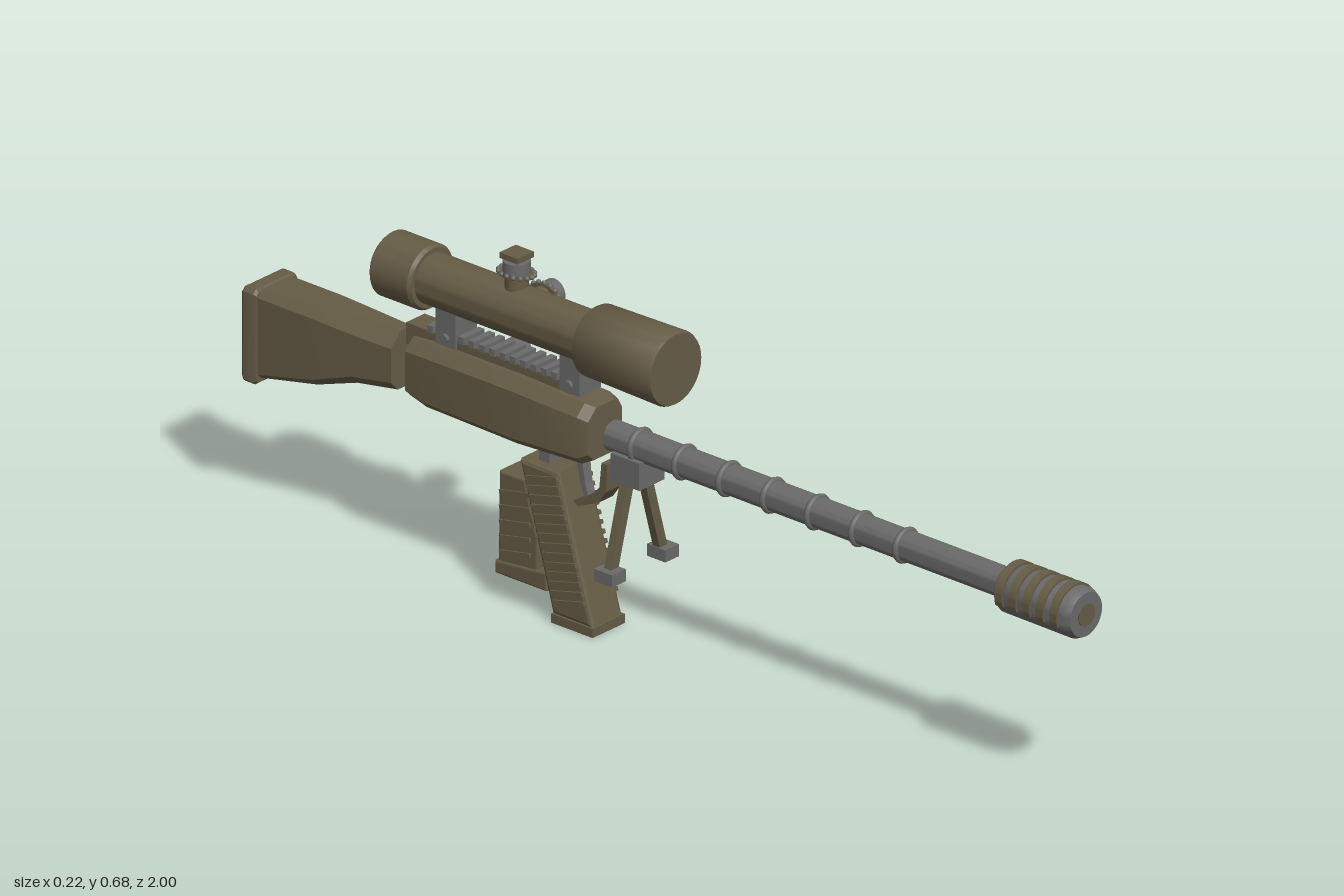
import * as THREE from 'three';
import { toCreasedNormals } from 'three/addons/utils/BufferGeometryUtils.js';

const brown = new THREE.MeshStandardMaterial({ color: 0x665c46 });
const grey = new THREE.MeshStandardMaterial({ color: 0x6a6a6a });

export function createModel() {
  const model = new THREE.Group();
  const gun = new THREE.Group();
  gun.name = 'rifle';
  gun.position.x = -0.022;
  model.add(gun);

  function add(name, geometry, material, x = 0, y = 0, z = 0) {
    const mesh = new THREE.Mesh(geometry, material);
    mesh.name = name;
    mesh.position.set(x, y, z);
    gun.add(mesh);
    return mesh;
  }
  const box = (name, m, w, h, d, x, y, z) => add(name, new THREE.BoxGeometry(w, h, d), m, x, y, z);

  // Solid of revolution along z; profile is [z, radius] from back to front
  function turned(name, m, y, profile) {
    const pts = profile.map(([z, r]) => new THREE.Vector2(r, z));
    const g = toCreasedNormals(new THREE.LatheGeometry(pts, 36).rotateX(Math.PI / 2), 0.6);
    return add(name, g, m, 0, y, 0);
  }

  // Chamfered body through stations [z, halfWidth, bottom, top, chamfer], front to back
  function loft(name, m, stations) {
    const pos = [], idx = [], n = 8;
    for (const [z, w, b, t, c] of stations) {
      const k = c * 0.7;
      for (const [x, y] of [[w, b + k], [w, t - c], [w - c, t], [c - w, t],
        [-w, t - c], [-w, b + k], [k - w, b], [w - k, b]]) pos.push(x, y, z);
    }
    const last = (stations.length - 1) * n;
    for (let s = 0; s < last; s += n) {
      for (let i = 0; i < n; i++) {
        const j = (i + 1) % n;
        idx.push(s + i, s + n + i, s + j, s + j, s + n + i, s + n + j);
      }
    }
    for (let i = 1; i < n - 1; i++) idx.push(0, i, i + 1, last, last + i + 1, last + i);
    const g = new THREE.BufferGeometry();
    g.setAttribute('position', new THREE.Float32BufferAttribute(pos, 3));
    g.setIndex(idx);
    return add(name, toCreasedNormals(g, 0.5), m);
  }

  // Side outline of [z, y] points extruded to a width across x
  function slab(name, m, outline, width, bevel = 0) {
    const shape = new THREE.Shape(outline.map(([z, y]) => new THREE.Vector2(-z, y)));
    const depth = width - 2 * bevel;
    const g = new THREE.ExtrudeGeometry(shape, {
      depth, bevelEnabled: bevel > 0, bevelSize: bevel, bevelThickness: bevel,
      bevelOffset: -bevel, bevelSegments: 2,
    });
    return add(name, g.translate(0, 0, -depth / 2).rotateY(Math.PI / 2), m);
  }

  // Barrel with raised rings
  turned('barrel', grey, 0.392, [[-0.146, 0], [-0.146, 0.029], [0.82, 0.029], [0.82, 0]]);
  for (let i = 0; i < 7; i++) {
    add('barrelRing', new THREE.TorusGeometry(0.029, 0.006, 8, 32), grey, 0, 0.392, 0.562 - i * 0.107);
  }

  // Muzzle brake: drum, bore disc and ribs wrapped over the top
  turned('muzzleBrake', grey, 0.389, [[0.812, 0], [0.812, 0.042], [0.822, 0.048],
    [0.985, 0.049], [0.998, 0.043], [0.998, 0]]);
  turned('bore', brown, 0.389, [[0.97, 0], [0.97, 0.022], [1, 0.022], [1, 0]]);
  for (let i = 0; i < 5; i++) {
    const arc = new THREE.Shape();
    arc.absarc(0, 0, 0.053, -0.35, Math.PI + 0.35, false);
    arc.absarc(0, 0, 0.045, Math.PI + 0.35, -0.35, true);
    const g = new THREE.ExtrudeGeometry(arc, { depth: 0.018, bevelEnabled: false, curveSegments: 24 });
    add('muzzleRib', toCreasedNormals(g, 0.5), brown, 0, 0.389, 0.823 + i * 0.033);
  }

  // Receiver
  loft('receiver', brown, [[-0.166, 0.046, 0.346, 0.448, 0.022], [-0.185, 0.056, 0.337, 0.455, 0.022],
    [-0.34, 0.058, 0.33, 0.46, 0.022], [-0.56, 0.057, 0.334, 0.46, 0.022], [-0.604, 0.052, 0.342, 0.456, 0.022]]);

  // Rail with teeth
  box('railBase', brown, 0.05, 0.025, 0.4, 0, 0.464, -0.425);
  box('railEnd', brown, 0.05, 0.036, 0.03, 0, 0.452, -0.61);
  for (let i = 0; i < 14; i++) box('railTooth', grey, 0.056, 0.014, 0.014, 0, 0.482, -0.24 - i * 0.025);

  // Bolt handle on the left
  const boltStem = new THREE.CylinderGeometry(0.011, 0.011, 0.07, 20).rotateZ(Math.PI / 2);
  add('boltStem', boltStem, grey, 0.07, 0.414, -0.488);
  const boltKnob = new THREE.CylinderGeometry(0.025, 0.025, 0.034, 24).rotateZ(Math.PI / 2);
  add('boltKnob', boltKnob, grey, 0.117, 0.414, -0.488);

  // Stock and ribbed butt pad
  loft('stock', brown, [[-0.647, 0.042, 0.335, 0.45, 0.028], [-0.74, 0.047, 0.322, 0.45, 0.026],
    [-0.83, 0.05, 0.293, 0.448, 0.02], [-0.965, 0.052, 0.268, 0.442, 0.012]]);
  loft('buttPad', brown, [[-0.96, 0.055, 0.262, 0.44, 0.006], [-0.966, 0.058, 0.257, 0.445, 0.008],
    [-0.99, 0.058, 0.257, 0.445, 0.008], [-0.996, 0.054, 0.261, 0.441, 0.008]]);
  for (let i = 0; i < 5; i++) box('padRib', brown, 0.1, 0.018, 0.008, 0, 0.287 + i * 0.032, -0.996);

  // Scope body: rear bell, tube and front bell
  turned('scope', brown, 0.569, [[-0.684, 0], [-0.684, 0.058], [-0.679, 0.063], [-0.59, 0.063],
    [-0.583, 0.058], [-0.583, 0.049], [-0.19, 0.049], [-0.188, 0.066], [-0.183, 0.069],
    [-0.002, 0.0725], [0.005, 0.069], [0.005, 0]]);

  // Scope mounts with side bolts
  for (const z of [-0.226, -0.526]) {
    box('scopeMount', grey, 0.058, 0.07, 0.048, 0, 0.495, z);
    for (const s of [-1, 1]) {
      add('mountBolt', new THREE.CylinderGeometry(0.009, 0.009, 0.012, 12).rotateZ(Math.PI / 2), grey, s * 0.03, 0.477, z);
    }
  }

  // Adjustment turrets: built upright, one on top and one turned to the left
  function turret(name, capped) {
    const g = new THREE.Group();
    g.name = name;
    const part = (partName, geo, m, y) => {
      const mesh = new THREE.Mesh(geo, m);
      mesh.name = partName;
      mesh.position.y = y;
      g.add(mesh);
      return mesh;
    };
    part('turretStem', new THREE.CylinderGeometry(0.022, 0.022, 0.04, 24), brown, 0.055);
    part('turretKnob', new THREE.CylinderGeometry(0.026, 0.026, 0.026, 24), grey, capped ? 0.086 : 0.09);
    for (let i = 0; i < 16; i++) {
      const a = i * Math.PI / 8;
      const bead = part('turretBead', new THREE.SphereGeometry(0.005, 8, 6), grey, 0.075);
      bead.position.x = Math.cos(a) * 0.027;
      bead.position.z = Math.sin(a) * 0.037;
    }
    const flange = part('turretFlange', new THREE.CylinderGeometry(0.027, 0.027, 0.008, 24), brown, 0.074);
    flange.scale.z = 1.35;
    if (capped) {
      part('turretNeck', new THREE.CylinderGeometry(0.015, 0.015, 0.01, 20), grey, 0.101);
      part('turretCap', new THREE.BoxGeometry(0.044, 0.011, 0.044), brown, 0.109);
    }
    g.position.set(0, 0.569, -0.38);
    gun.add(g);
    return g;
  }
  turret('topTurret', true);
  turret('sideTurret', false).rotation.z = -Math.PI / 2;

  // Bipod
  box('bipodClamp', grey, 0.068, 0.054, 0.07, 0, 0.348, -0.088);
  for (const s of [-1, 1]) {
    const from = new THREE.Vector3(s * 0.02, 0.335, -0.092);
    const to = new THREE.Vector3(s * 0.068, 0.16, -0.092);
    const leg = box('bipodLeg', brown, 0.02, from.distanceTo(to), 0.017, 0, 0, 0);
    leg.position.copy(from).add(to).multiplyScalar(0.5);
    leg.rotation.z = Math.atan2(to.x - from.x, from.y - to.y);
    box('bipodFoot', grey, 0.037, 0.024, 0.044, s * 0.072, 0.156, -0.09);
  }

  // Trigger guard strap and trigger
  slab('triggerGuard', brown, [[-0.143, 0.34], [-0.146, 0.285], [-0.165, 0.258], [-0.215, 0.236],
    [-0.226, 0.244], [-0.18, 0.27], [-0.162, 0.29], [-0.157, 0.34]], 0.04);
  slab('trigger', grey, [[-0.213, 0.325], [-0.205, 0.28], [-0.196, 0.25], [-0.206, 0.25],
    [-0.218, 0.28], [-0.228, 0.325]], 0.02);

  // Pistol grip: raked body, slanted side ribs, neck and base plate
  slab('grip', brown, [[-0.16, 0.016], [-0.257, 0.016], [-0.337, 0.3], [-0.245, 0.3]], 0.084, 0.008);
  box('gripNeck', grey, 0.04, 0.06, 0.025, 0, 0.315, -0.295);
  box('gripBase', brown, 0.088, 0.018, 0.1, 0, 0.009, -0.207);
  for (let i = 0; i < 14; i++) {
    const y = 0.052 + i * 0.0175;
    for (const s of [-1, 1]) {
      const rib = box('gripRib', brown, 0.012, 0.008, 0.078, s * 0.041, y, -0.204 - (y - 0.016) * 0.29);
      rib.rotation.x = -0.25;
    }
  }

  // Magazine with wider lower block and side ribs
  slab('magazine', brown, [[-0.33, 0.257], [-0.392, 0.257], [-0.395, 0.06], [-0.3, 0.06], [-0.3, 0.15]], 0.068, 0.004);
  slab('magazineBase', brown, [[-0.275, 0.09], [-0.275, 0.053], [-0.4, 0.053], [-0.4, 0.078]], 0.076, 0.004);
  for (let i = 0; i < 5; i++) {
    for (const s of [-1, 1]) {
      const rib = box('magazineRib', brown, 0.008, 0.008, 0.075, s * 0.034, 0.105 + i * 0.03, -0.352);
      rib.rotation.x = -0.2;
    }
  }
  return model;
}
